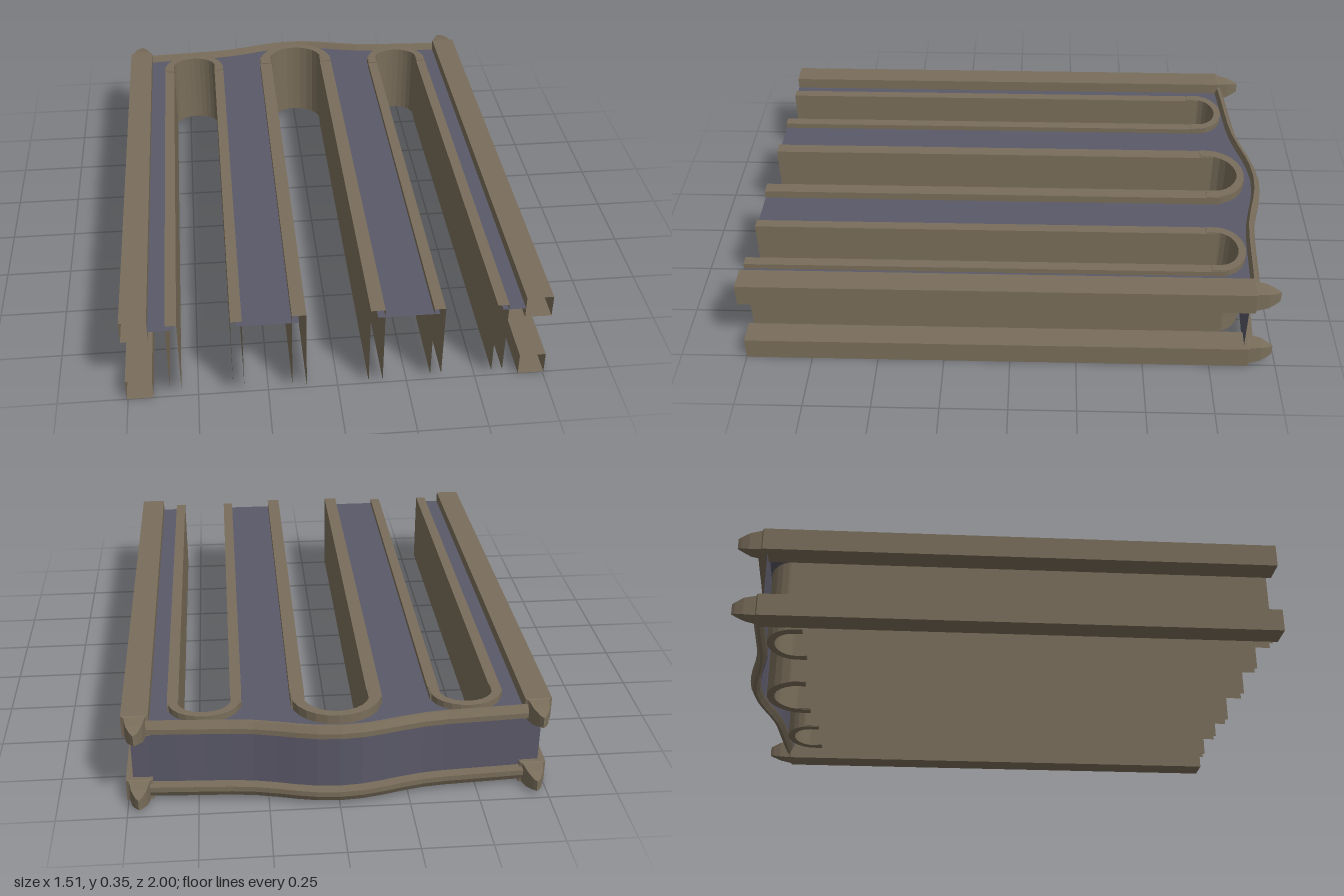
import * as THREE from 'three';

const stone = new THREE.MeshStandardMaterial({ color: 0x7a6e5b, flatShading: true, side: THREE.DoubleSide });
stone.name = 'tan stone';
const slate = new THREE.MeshStandardMaterial({ color: 0x5a5968, flatShading: true, side: THREE.DoubleSide });
slate.name = 'slate purple';

// arched openings: centre x, wall half-widths, arch half-widths and reach, height range
const side = { inner: 0.092, outer: 0.132, archIn: 0.095, archOut: 0.128, base: 0.75, spring: 0.785, reachIn: 0.075, reachOut: 0.103, y0: 0.025, y1: 0.335 };
const openings = [
  { x: -0.4675, ...side },
  { x: 0, inner: 0.112, outer: 0.163, archIn: 0.12, archOut: 0.16, base: 0.77, spring: 0.795, reachIn: 0.11, reachOut: 0.14, y0: 0.012, y1: 0.345 },
  { x: 0.4675, ...side },
];

// outer line of the crown: [x, distance to the back]
const half = [[0, 1], [0.08, 0.994], [0.15, 0.98], [0.22, 0.962], [0.3, 0.945], [0.38, 0.936], [0.47, 0.931], [0.57, 0.926], [0.67, 0.92], [0.73, 0.918]];
const crown = [...half.slice(1).reverse().map(([x, s]) => [-x, s]), ...half];

function add(parent, name, geometry, material) {
  const mesh = new THREE.Mesh(geometry, material);
  mesh.name = name;
  parent.add(mesh);
  return mesh;
}

// joins rows of points (all rows equally long) into a surface
function loft(rows, closed) {
  const n = rows[0].length, index = [];
  for (let i = 0; i < rows.length - 1; i++) {
    for (let j = 0; j < (closed ? n : n - 1); j++) {
      const a = i * n + j, b = i * n + (j + 1) % n;
      index.push(a, b, a + n, b, b + n, a + n);
    }
  }
  const g = new THREE.BufferGeometry();
  g.setAttribute('position', new THREE.Float32BufferAttribute(rows.flat(2), 3));
  g.setIndex(index);
  const flat = g.toNonIndexed();
  flat.computeVertexNormals();
  return flat;
}

// half-ellipse points over an opening, left to right
function arc(o, rx, rz, steps = 12) {
  return Array.from({ length: steps + 1 }, (_, i) => {
    const a = Math.PI * (1 - i / steps);
    return new THREE.Vector2(o.x + rx * Math.cos(a), o.spring + rz * Math.sin(a));
  });
}

// plan shape (x, distance back) lifted from y0 to y1
function slab(points, y0, y1) {
  const g = new THREE.ExtrudeGeometry(new THREE.Shape(points), { depth: y1 - y0, bevelEnabled: false });
  return g.rotateX(-Math.PI / 2).translate(0, y0, 0);
}

const rect = (x, y, hx, hy, z) => [[x - hx, y - hy, z], [x + hx, y - hy, z], [x + hx, y + hy, z], [x - hx, y + hy, z]];

export function createModel() {
  const model = new THREE.Group();
  model.name = 'arched frame';

  // pierced face panel
  const outline = [new THREE.Vector2(-0.66, -1)];
  for (const o of openings) {
    const w = (o.inner + o.outer) / 2;
    outline.push(new THREE.Vector2(o.x - w, -1), ...arc(o, w, (o.reachIn + o.reachOut) / 2), new THREE.Vector2(o.x + w, -1));
  }
  outline.push(new THREE.Vector2(0.66, -1));
  for (const [x, s] of [...crown].reverse()) {
    if (Math.abs(x) < 0.7) outline.push(new THREE.Vector2(x, s - 0.02));
  }
  const panel = new THREE.ShapeGeometry(new THREE.Shape(outline)).rotateX(-Math.PI / 2);
  add(model, 'facePanel', panel, slate).position.y = 0.31;

  // curved crown sheet
  add(model, 'crownSheet', loft([0.05, 0.31].map(y => crown.map(([x, s]) => [x, y, 0.04 - s])), false), slate);

  // moulded rails along both edges of the crown
  const profile = [[0.132, 0], [0.156, 0.013], [0.156, 0.024], [0.132, 0.034], [0.112, 0.04], [0.112, 0]];
  for (const s of [1, -1]) {
    const rows = crown.filter(([x]) => Math.abs(x) < 0.7)
      .map(([x, d]) => profile.map(([y, inset]) => [x, 0.1785 + s * y, inset - d]));
    add(model, s > 0 ? 'upperRail' : 'lowerRail', loft(rows, true), stone);
  }

  // arch rings and the hollow walls leading to them
  for (const o of openings) {
    const bay = new THREE.Group();
    bay.name = 'archBay';
    model.add(bay);
    const v = (x, s) => new THREE.Vector2(o.x + x, s);
    const ring = [v(-o.archOut, o.base), ...arc(o, o.archOut, o.reachOut), v(o.archOut, o.base),
      v(o.archIn, o.base), ...arc(o, o.archIn, o.reachIn).reverse(), v(-o.archIn, o.base)];
    add(bay, 'archRing', slab(ring, o.y0, o.y1), stone);
    for (const s of [1, -1]) {
      const a = o.x + s * o.inner, b = o.x + s * o.outer;
      // capital block at the spring of the arch
      const capital = new THREE.BoxGeometry(Math.abs(b - a) * 0.95, o.y1 - o.y0 - 0.004, 0.055);
      add(bay, 'capital', capital, stone).position.set((a + b) / 2, (o.y0 + o.y1) / 2, -o.base - 0.025);
      // channel wall, open below and at the front
      const rows = [1, -o.base].map(z => [[a, o.y0, z], [a, o.y1 - 0.004, z], [b, o.y1 - 0.004, z], [b, o.y0, z]]);
      add(bay, 'channelWall', loft(rows, false), stone);
    }
  }

  // four hollow corner posts with pointed caps
  for (const s of [1, -1]) {
    for (const [y, t] of [[0.0435, -1], [0.3125, 1]]) {
      const x = s * 0.7075;
      const post = new THREE.Group();
      post.name = 'cornerPost';
      model.add(post);
      add(post, 'postShaft', loft([rect(x, y, 0.0475, 0.0425, 1), rect(x, y, 0.0475, 0.0425, -0.895)], true), stone);
      add(post, 'postCap', loft([
        rect(x, y, 0.0475, 0.0425, -0.895), rect(x, y, 0.037, 0.039, -0.9),
        rect(x, y - t * 0.001, 0.028, 0.033, -0.945), rect(x, y, 0.012, 0.023, -0.977),
        rect(x, y, 0.001, 0.02, -0.99),
      ], true), stone);
    }
  }
  return model;
}
